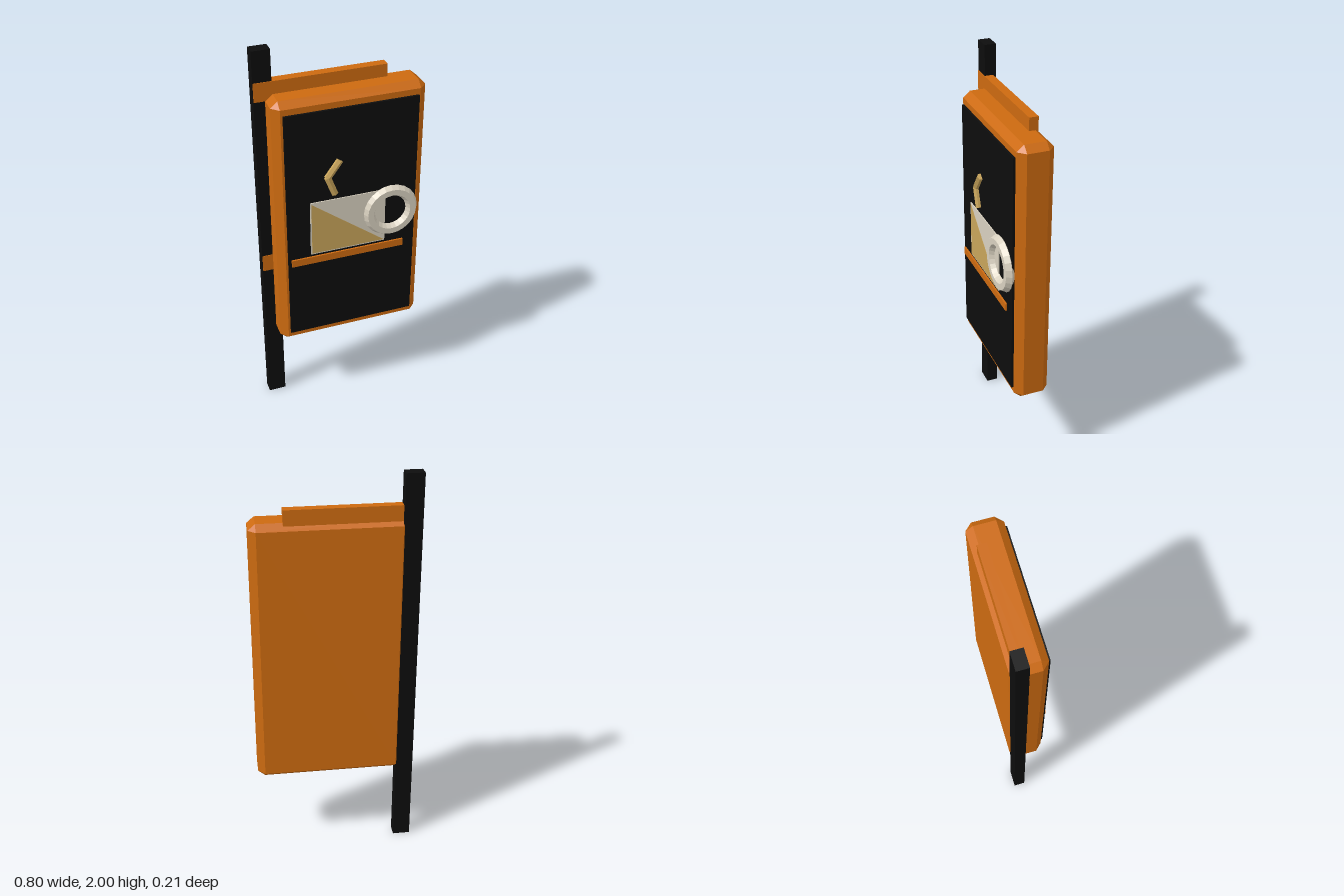
import * as THREE from 'three';
import { ConvexGeometry } from 'three/addons/geometries/ConvexGeometry.js';

export function createModel() {
  const model = new THREE.Group();
  const material = (name, color, flatShading = true) => {
    const m = new THREE.MeshStandardMaterial({ color });
    m.name = name;
    m.flatShading = flatShading;
    return m;
  };
  const orange = material('orange', 0xcc6a10);
  const black = material('black', 0x0d0d0d);
  const pale = material('pale grey', 0xd8d0bf);
  const tan = material('tan', 0xc8a45a);

  const add = (name, geometry, mat) => {
    const mesh = new THREE.Mesh(geometry, mat);
    mesh.name = name;
    model.add(mesh);
    return mesh;
  };
  // Box given by its limits on each axis
  const box = (name, mat, [x0, x1], [y0, y1], [z0, z1]) => {
    const mesh = add(name, new THREE.BoxGeometry(x1 - x0, y1 - y0, z1 - z0), mat);
    mesh.position.set((x0 + x1) / 2, (y0 + y1) / 2, (z0 + z1) / 2);
    return mesh;
  };

  // Chamfered case: every corner is cut to a triangle
  const half = [0.3725, 0.68, 0.0875];
  const cut = [0.035, 0.03, 0.035];
  const points = [];
  for (const sx of [-1, 1]) for (const sy of [-1, 1]) for (const sz of [-1, 1]) {
    for (let full = 0; full < 3; full++) {
      const p = [sx, sy, sz].map((s, i) => s * (half[i] - (i === full ? 0 : cut[i])));
      points.push(new THREE.Vector3(...p));
    }
  }
  add('case', new ConvexGeometry(points), orange).position.set(0.0265, 1.105, -0.0225);

  // Mounting post with its two brackets
  box('post', black, [-0.4, -0.312], [0, 2], [-0.106, -0.048]);
  box('topBracket', orange, [-0.399, 0.24], [1.755, 1.848], [-0.09, -0.045]);
  box('lowerBracket', orange, [-0.399, -0.33], [0.82, 0.91], [-0.09, -0.045]);

  // Front panel and ledge
  box('frontPanel', black, [-0.3, 0.355], [0.485, 1.725], [0.06, 0.076]);
  box('ledge', orange, [-0.285, 0.295], [0.905, 0.943], [0.07, 0.085]);

  // Card with a diagonal two-colour face
  box('card', pale, [-0.186, 0.197], [0.957, 1.252], [0.074, 0.081]);
  const triangle = new THREE.Shape([
    new THREE.Vector2(-0.18, 1.245),
    new THREE.Vector2(-0.18, 0.963),
    new THREE.Vector2(0.191, 0.963),
  ]);
  add('cardTriangle', new THREE.ExtrudeGeometry(triangle, { depth: 0.002, bevelEnabled: false }), tan)
    .position.z = 0.0805;

  // Faceted ring
  add('ring', new THREE.TorusGeometry(0.11, 0.03, 6, 24), pale).position.set(0.225, 1.13, 0.079);

  // Bent pointer made of two six-sided rods
  const elbow = new THREE.Vector3(-0.098, 1.378, 0.08);
  for (const [name, x, y] of [['upperPointer', -0.04, 1.458], ['lowerPointer', -0.064, 1.288]]) {
    const span = new THREE.Vector3(x, y, 0.08).sub(elbow);
    const rod = add(name, new THREE.CylinderGeometry(0.018, 0.018, span.length() + 0.008, 6), tan);
    rod.position.copy(elbow).addScaledVector(span, 0.5);
    rod.rotation.z = Math.atan2(-span.x, span.y);
  }

  return model;
}
